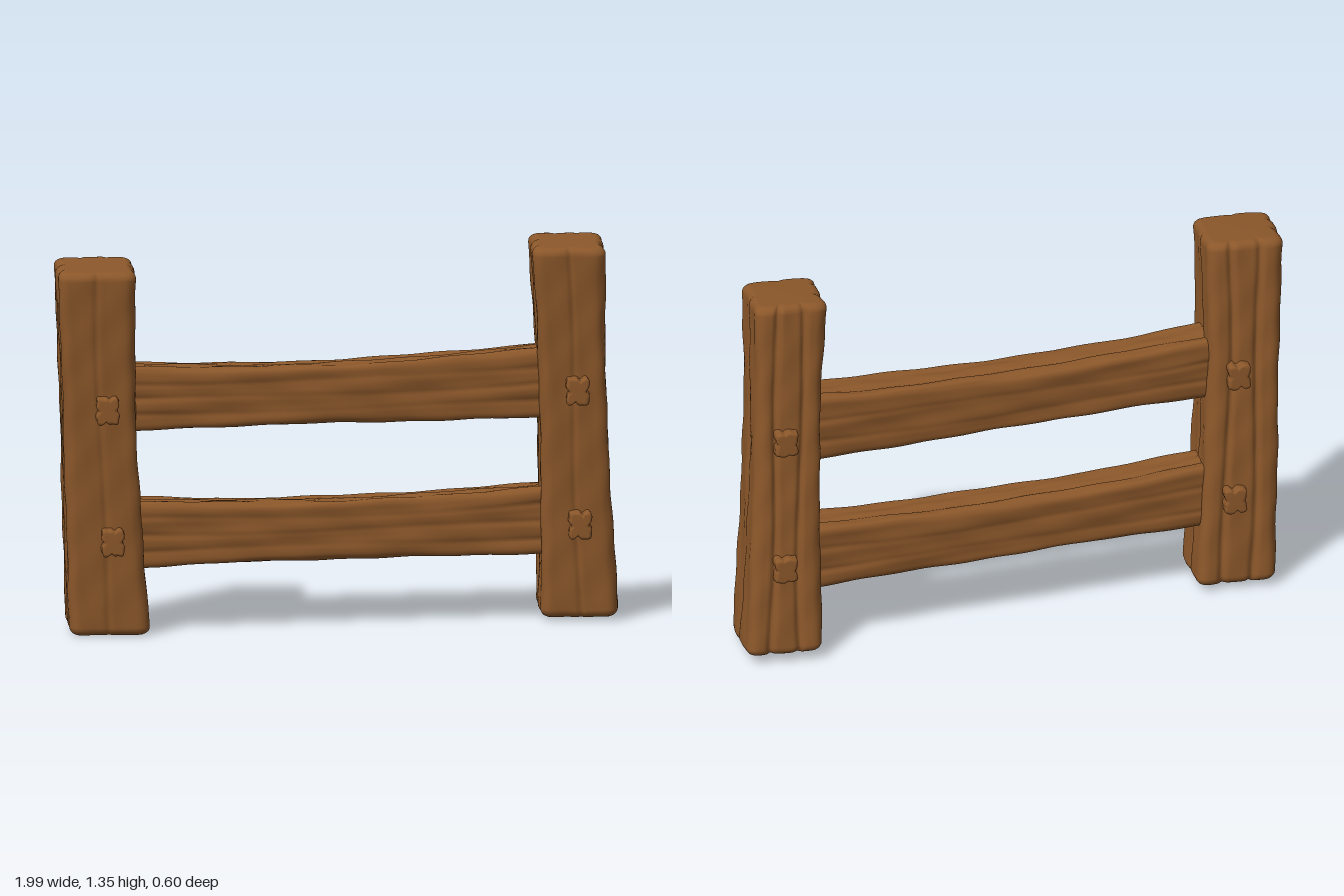
import * as THREE from 'three';

const wood = new THREE.MeshStandardMaterial({ color: 0x8b572a });
wood.name = 'brownWood';

// Smooth curve through a start, middle and end value
const bend = ([a, b, c], t) =>
  a * (1 - t) * (1 - 2 * t) + b * 4 * t * (1 - t) + c * t * (2 * t - 1);

// Point s (0..4) round a rectangle with rounded corners, plus its outward direction
function outline(s, hu, hv, r) {
  const side = Math.floor(s) % 4;
  const k = (s % 1) * 2 - 1;
  const [qu, qv] = [[1, k], [-k, 1], [-1, -k], [k, -1]][side];
  const u = qu * hu, v = qv * hv;
  const cu = THREE.MathUtils.clamp(u, r - hu, hu - r);
  const cv = THREE.MathUtils.clamp(v, r - hv, hv - r);
  const len = Math.hypot(u - cu, v - cv) || 1;
  const nu = (u - cu) / len, nv = (v - cv) / len;
  return { u: cu + nu * r, v: cv + nv * r, nu, nv };
}

// Rounded beam: bounds(t) gives [uMin, uMax, vMin, vMax]; place(t, u, v) returns x, y, z.
// grooves: [position round outline, depth, width, 1 if deepest at the ends]
function beam(name, { length, round, corner, per, steps, bounds, place, grooves, rough, seed }) {
  const rings = [];
  const arc = 5;
  for (let i = 0; i <= arc; i++) {
    const a = (i / arc) * Math.PI / 2;
    rings.push([(round * (1 - Math.cos(a))) / length, round * (1 - Math.sin(a))]);
  }
  const t0 = round / length;
  for (let i = 1; i < steps; i++) rings.push([t0 + (1 - 2 * t0) * (i / steps), 0]);
  for (let i = arc; i >= 0; i--) rings.push([1 - rings[i][0], rings[i][1]]);

  const n = per * 4;
  const pos = [], index = [];
  rings.forEach(([t, inset]) => {
    const [u0, u1, v0, v1] = bounds(t);
    const uc = (u0 + u1) / 2, vc = (v0 + v1) / 2;
    for (let j = 0; j < n; j++) {
      const s = (j / n) * 4;
      const p = outline(s, (u1 - u0) / 2 - inset, (v1 - v0) / 2 - inset, Math.max(corner - inset * 0.5, 0.008));
      let d = rough * (Math.sin(t * 17 + s * 2 * Math.PI + seed) + Math.sin(t * 41 - s * Math.PI * 3 + seed * 2)
        + Math.sin(t * 9 + s * Math.PI * 5));
      for (const [at, depth, width, ends] of grooves) {
        const off = s - at - 0.025 * Math.sin(t * 7 + at * 9 + seed);
        const fade = ends ? 0.2 + 0.8 * Math.pow(Math.abs(2 * t - 1), 3) : 1;
        d -= depth * fade * Math.exp(-(off * off) / (width * width));
      }
      pos.push(...place(t, uc + p.u + p.nu * d, vc + p.v + p.nv * d));
    }
  });
  for (let i = 0; i < rings.length - 1; i++) {
    for (let j = 0; j < n; j++) {
      const a = i * n + j, b = i * n + ((j + 1) % n);
      index.push(a, b, a + n, b, b + n, a + n);
    }
  }
  // End caps
  const last = (rings.length - 1) * n;
  const base = pos.length / 3;
  for (const t of [0, 1]) {
    const [u0, u1, v0, v1] = bounds(t);
    pos.push(...place(t, (u0 + u1) / 2, (v0 + v1) / 2));
  }
  for (let j = 0; j < n; j++) {
    const k = (j + 1) % n;
    index.push(base, k, j, base + 1, last + j, last + k);
  }
  const geo = new THREE.BufferGeometry();
  geo.setAttribute('position', new THREE.Float32BufferAttribute(pos, 3));
  geo.setIndex(index);
  geo.computeVertexNormals();
  const mesh = new THREE.Mesh(geo, wood);
  mesh.name = name;
  return mesh;
}

// Leaning post, flared at the foot; each edge is given at bottom, middle and top
function post(name, y0, y1, zBack, zFront, xMin, xMax, seed) {
  return beam(name, {
    length: y1 - y0, round: 0.03, corner: 0.04, per: 36, steps: 36, rough: 0.0015, seed,
    bounds: t => [bend(zBack, t), bend(zFront, t), bend(xMin, t), bend(xMax, t)],
    place: (t, z, x) => {
      const zc = (bend(zBack, t) + bend(zFront, t)) / 2;
      return [x, y0 + t * (y1 - y0) - (z - zc) * 0.08, z];
    },
    grooves: [
      [0.5, 0.006, 0.035, 0], [1.5, 0.005, 0.04, 0],
      [2.3, 0.014, 0.04, 0], [2.68, 0.014, 0.04, 0],
      [3.4, 0.012, 0.04, 0], [3.75, 0.008, 0.03, 0],
    ],
  });
}

// Sagging rail running between the posts
function rail(name, yLow, yHigh, zShift, seed) {
  const x0 = -0.84, x1 = 0.82;
  return beam(name, {
    length: x1 - x0, round: 0.02, corner: 0.025, per: 30, steps: 44, rough: 0.0016, seed,
    bounds: t => {
      const zc = 0.1 + zShift - 0.132 * (x0 + t * (x1 - x0)) - 0.1;
      return [bend(yLow, t), bend(yHigh, t), zc - 0.083, zc + 0.083];
    },
    place: (t, y, z) => [x0 + t * (x1 - x0), y, z],
    grooves: [
      [0.35, 0.008, 0.05, 0], [0.7, 0.006, 0.04, 1],
      [1.25, 0.008, 0.04, 1], [1.5, 0.009, 0.04, 1], [1.75, 0.008, 0.04, 1],
      [3.3, 0.008, 0.04, 1], [3.65, 0.008, 0.04, 1],
    ],
  });
}

// Peg driven right through a post
function peg(name, x, y, zBack, zFront) {
  const len = zFront - zBack;
  return beam(name, {
    length: len, round: 0.012, corner: 0.014, per: 14, steps: 8, rough: 0.001, seed: x * 5,
    bounds: () => [x - 0.04, x + 0.04, y - 0.048, y + 0.048],
    place: (t, px, py) => [px, py - (t - 0.5) * len * 0.05, zBack + t * len],
    grooves: [0.5, 1.4, 2.5, 3.4].map(s => [s, 0.008, 0.09, 0]),
  });
}

export function createModel() {
  const model = new THREE.Group();
  model.name = 'woodenFence';
  model.add(
    post('rightPost', 0.01, 1.305, [-0.075, -0.035, 0.015], [0.22, 0.25, 0.298],
      [-0.95, -0.968, -0.995], [-0.662, -0.712, -0.72], 1),
    post('leftPost', 0.022, 1.34, [-0.298, -0.243, -0.2], [0.0, 0.025, 0.072],
      [0.712, 0.714, 0.68], [0.992, 0.95, 0.938], 4),
    rail('upperRail', [0.713, 0.722, 0.715], [0.95, 0.928, 0.975], 0.003, 2),
    rail('lowerRail', [0.225, 0.236, 0.23], [0.468, 0.442, 0.475], -0.025, 5),
    peg('rightUpperPeg', -0.82, 0.815, -0.06, 0.3),
    peg('rightLowerPeg', -0.8, 0.345, -0.09, 0.274),
    peg('leftUpperPeg', 0.84, 0.832, -0.264, 0.082),
    peg('leftLowerPeg', 0.85, 0.355, -0.3, 0.06),
  );
  return model;
}
